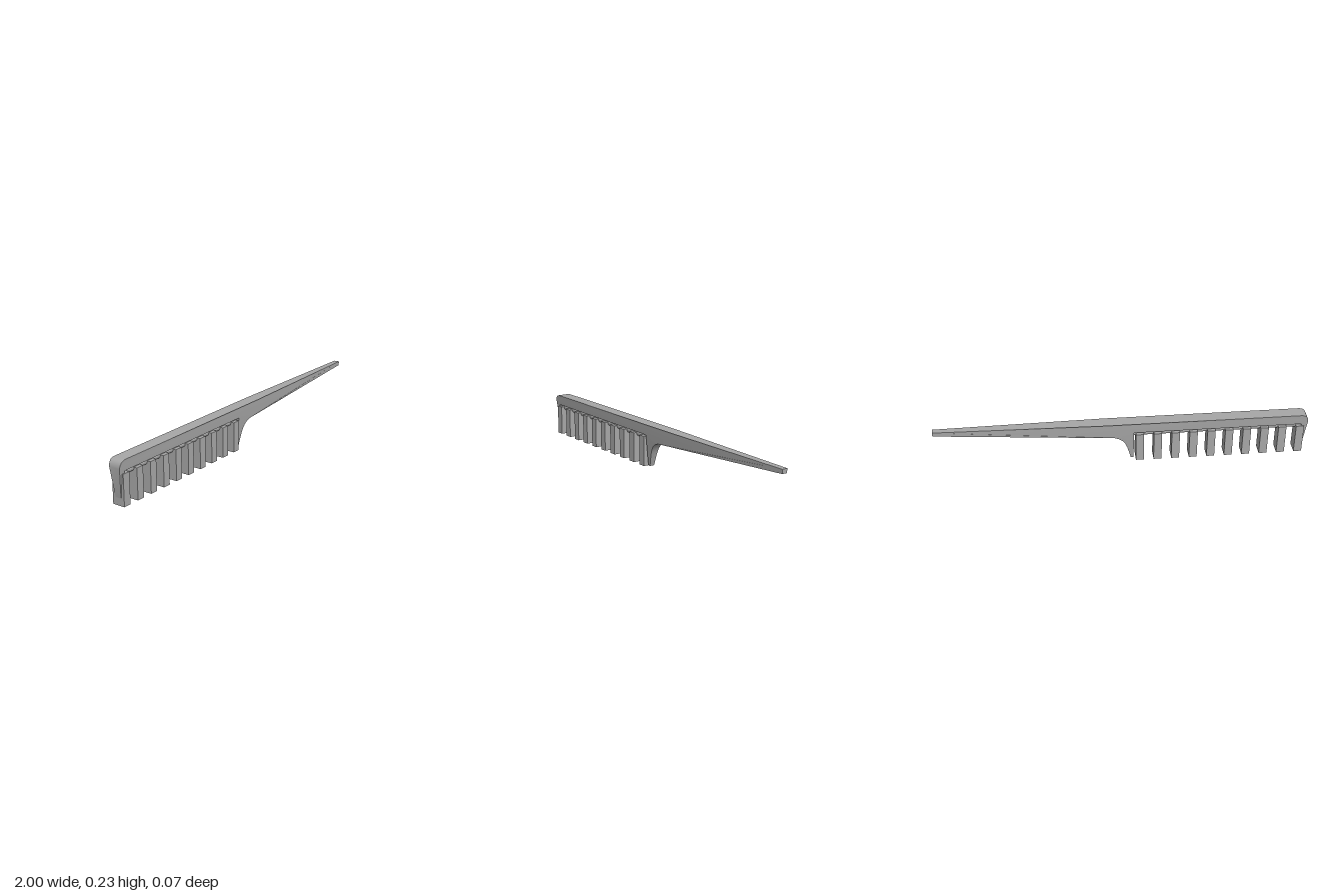
import * as THREE from 'three';
import { toCreasedNormals } from 'three/addons/utils/BufferGeometryUtils.js';

export function createModel() {
  const comb = new THREE.Group();
  comb.name = 'tailComb';
  const grey = new THREE.MeshStandardMaterial({ color: 0xa6a6a6 });
  grey.name = 'grey plastic';

  const add = (name, geometry, x = 0, y = 0, z = 0) => {
    const mesh = new THREE.Mesh(geometry, grey);
    mesh.name = name;
    mesh.position.set(x, y, z);
    comb.add(mesh);
    return mesh;
  };

  // Spine, end guards and tapering tail as one outline
  const outline = new THREE.Shape();
  outline.moveTo(-0.06, 0.177);
  outline.lineTo(-0.06, 0.003);
  outline.lineTo(-0.045, 0.003);
  outline.bezierCurveTo(-0.02, 0.1, -0.015, 0.13, 0.045, 0.148);
  outline.lineTo(0.1, 0.152);
  outline.lineTo(1, 0.212);
  outline.lineTo(1, 0.235);
  outline.lineTo(0.1, 0.235);
  outline.lineTo(-0.96, 0.235);
  outline.quadraticCurveTo(-0.998, 0.234, -1, 0.195);
  outline.lineTo(-0.982, 0.04);
  outline.lineTo(-0.974, 0.04);
  outline.lineTo(-0.965, 0.177);
  outline.closePath();
  const body = new THREE.ExtrudeGeometry(outline, { depth: 1, bevelEnabled: false, curveSegments: 6 });

  // Thickness grows towards the top edge and shrinks along the tail
  const pos = body.attributes.position;
  for (let i = 0; i < pos.count; i++) {
    const x = pos.getX(i), y = pos.getY(i);
    const taper = 1 - 0.57 * THREE.MathUtils.clamp((x - 0.1) / 0.9, 0, 1);
    const half = (0.013 + 0.0226 * (y / 0.235)) * taper;
    pos.setZ(i, (pos.getZ(i) * 2 - 1) * half);
  }
  add('spineAndTail', toCreasedNormals(body, 0.6));

  // Rod that carries the teeth under the spine
  const rod = new THREE.CylinderGeometry(0.016, 0.016, 0.88, 16);
  add('toothRod', rod, -0.5, 0.161).rotation.z = Math.PI / 2;

  // Row of ten block teeth
  const tooth = new THREE.BoxGeometry(0.043, 0.166, 0.07);
  for (let i = 0; i < 10; i++) add('tooth' + (i + 1), tooth, -0.959 + i * 0.0963, 0.083);

  return comb;
}
